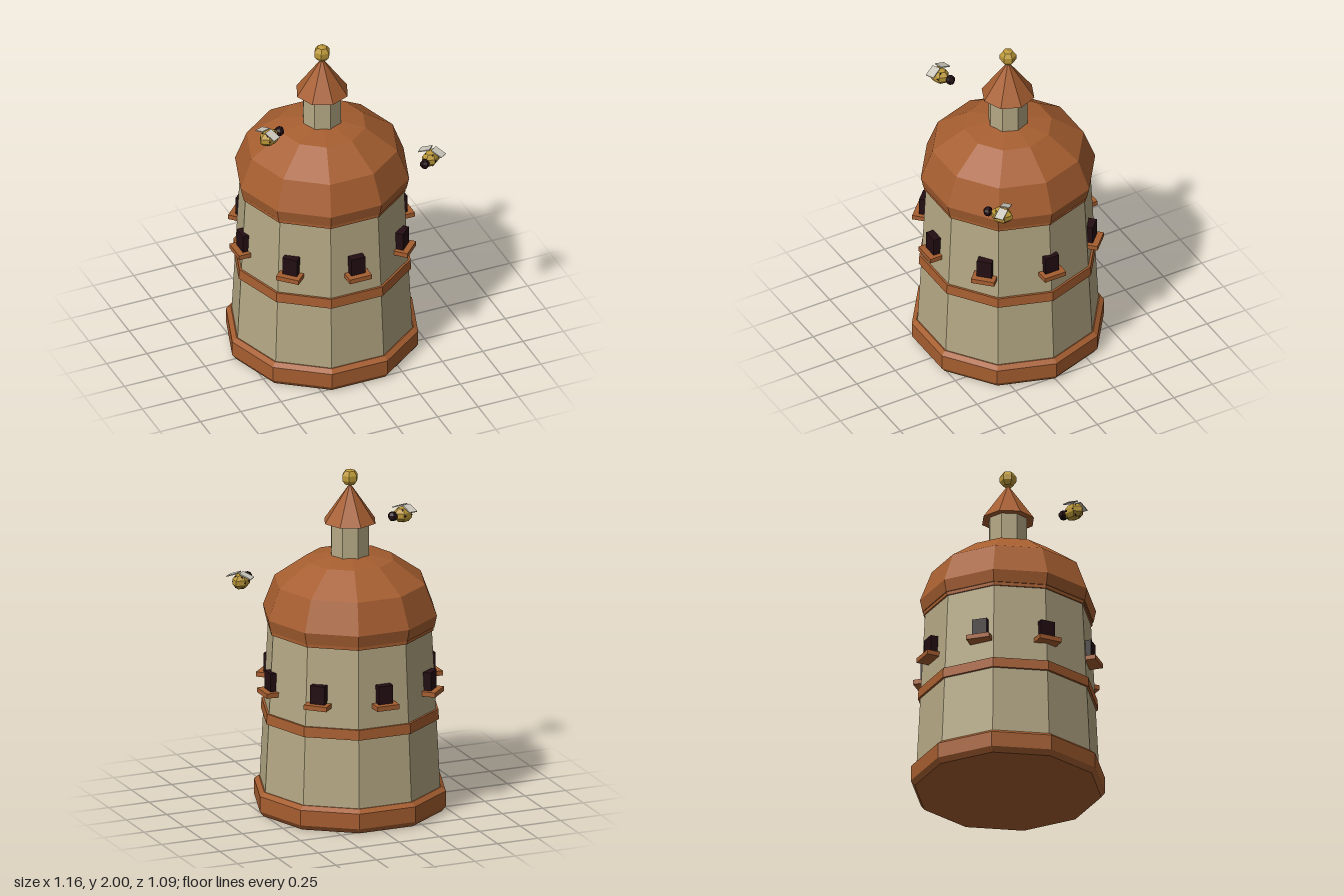
import * as THREE from 'three';

const mat = (name, color) => {
  const m = new THREE.MeshStandardMaterial({ color });
  m.name = name;
  return m;
};

export function createModel() {
  const terracotta = mat('terracotta', 0xa65e30);
  const plaster = mat('plaster', 0xb5a884);
  const dark = mat('dark', 0x220d12);
  const gold = mat('gold', 0xbc9838);
  const wingGrey = mat('wingGrey', 0xccc8bc);

  const model = new THREE.Group();
  model.name = 'beehiveTower';

  // Faceted mesh helper
  const add = (parent, name, geometry, material, x = 0, y = 0, z = 0) => {
    const g = geometry.index ? geometry.toNonIndexed() : geometry;
    g.computeVertexNormals();
    const mesh = new THREE.Mesh(g, material);
    mesh.name = name;
    mesh.position.set(x, y, z);
    parent.add(mesh);
    return mesh;
  };
  // Profile of [radius, height] pairs, bottom to top
  const lathe = (points, sides, turn = 0) =>
    new THREE.LatheGeometry(points.map(([r, y]) => new THREE.Vector2(r, y)), sides, turn);

  const tower = new THREE.Group();
  tower.name = 'tower';
  tower.position.x = -0.025;
  model.add(tower);

  // Ten-sided body, with a flat side facing the front
  const decagon = (name, points, material) =>
    add(tower, name, lathe(points, 10, Math.PI / 10), material);
  decagon('base', [[0, 0], [0.535, 0], [0.557, 0.03], [0.557, 0.12], [0.53, 0.142], [0.5, 0.142]], terracotta);
  decagon('wall', [[0.525, 0.12], [0.475, 1.09]], plaster);
  decagon('middleBand', [[0.48, 0.545], [0.517, 0.545], [0.513, 0.605], [0.48, 0.605]], terracotta);
  decagon('eavesRing', [[0.45, 1.07], [0.485, 1.07], [0.485, 1.1]], terracotta);

  // Dome: short flare, then a flattened hemisphere in three steps
  const dome = [[0.44, 1.09], [0.49, 1.09]];
  for (let i = 0; i <= 3; i++) {
    const a = (i * Math.PI) / 6;
    dome.push([i === 3 ? 0 : 0.505 * Math.cos(a), 1.16 + 0.36 * Math.sin(a)]);
  }
  decagon('dome', dome, terracotta);

  // Lantern, its roof and the finial
  add(tower, 'lantern', lathe([[0.115, 1.48], [0.115, 1.7]], 8), plaster);
  add(tower, 'lanternRoof', lathe([[0, 1.69], [0.155, 1.69], [0, 1.915]], 8), terracotta);
  add(tower, 'finial', new THREE.SphereGeometry(0.05, 6, 5), gold, 0, 1.95, 0);

  // Eight windows with sills
  for (let i = 0; i < 8; i++) {
    const unit = new THREE.Group();
    unit.name = 'window' + (i + 1);
    unit.rotation.y = (i * Math.PI) / 4;
    add(unit, 'opening', new THREE.BoxGeometry(0.088, 0.11, 0.06), dark, 0, 0.8, 0.48);
    add(unit, 'sill', new THREE.BoxGeometry(0.137, 0.028, 0.09), terracotta, 0, 0.734, 0.5);
    tower.add(unit);
  }

  // Bees, built facing +x
  const addBee = (name, x, y, z, yaw) => {
    const bee = new THREE.Group();
    bee.name = name;
    bee.position.set(x, y, z);
    bee.rotation.y = yaw;
    const body = new THREE.SphereGeometry(0.048, 6, 5).scale(1.42, 1, 1);
    add(bee, 'body', body, gold);
    for (const [sx, r] of [[-0.026, 0.041], [0.022, 0.043]]) {
      const stripe = new THREE.CylinderGeometry(r, r, 0.014, 6).rotateZ(Math.PI / 2);
      add(bee, 'stripe', stripe, dark, sx, 0, 0);
    }
    add(bee, 'head', new THREE.SphereGeometry(0.029, 6, 5), dark, 0.082, 0.005, 0);
    for (const side of [1, -1]) {
      const wing = add(bee, 'wing', new THREE.BoxGeometry(0.052, 0.006, 0.072), wingGrey, -0.012, 0.04, side * 0.041);
      wing.rotation.set(side * 0.38, side * 0.1, 0);
    }
    model.add(bee);
  };
  addBee('rightBee', -0.446, 1.615, 0.208, 0.35);
  addBee('leftBee', 0.5, 1.3, 0.34, -2.43);

  return model;
}
